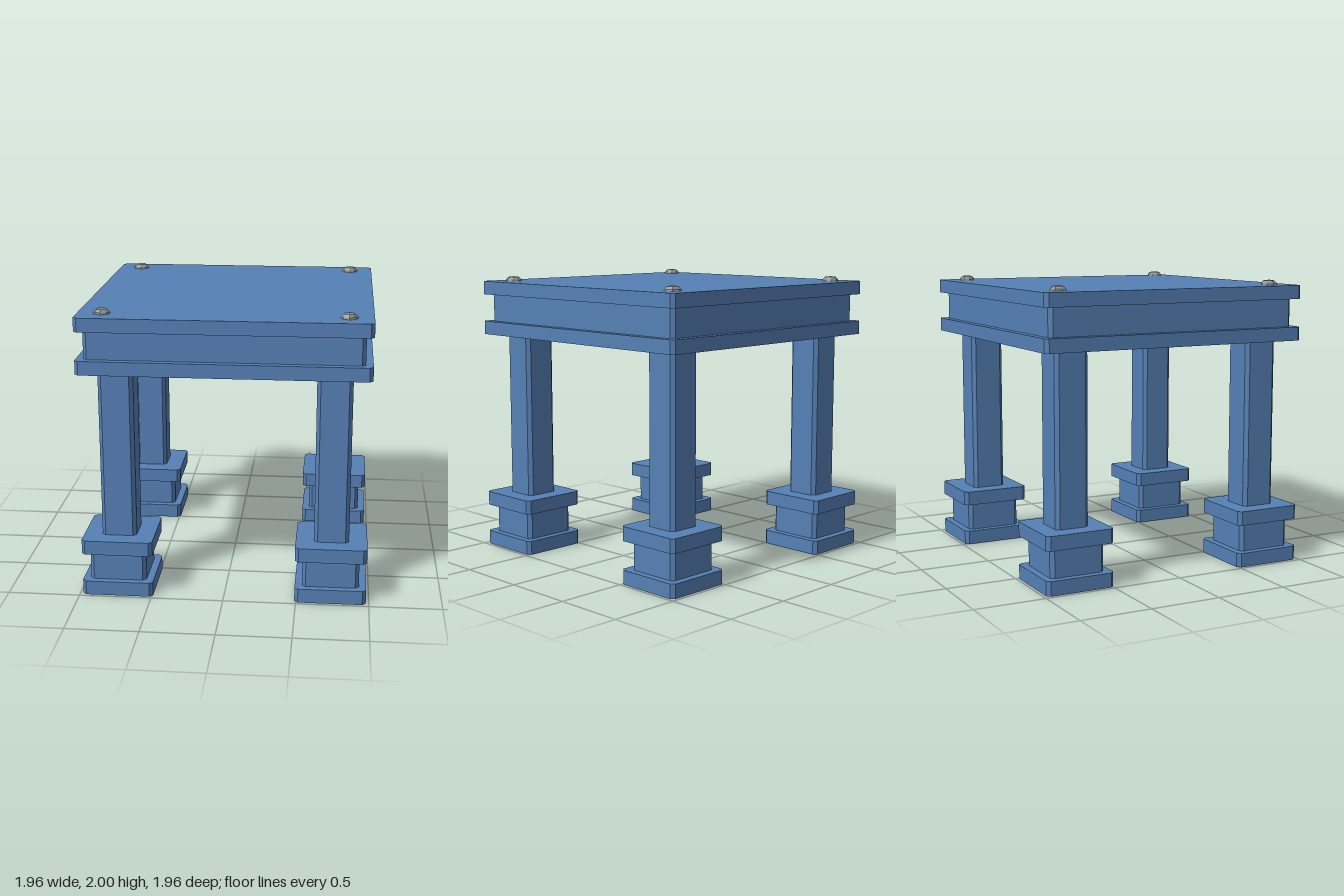
import * as THREE from 'three';

// Upright square slab with chamfered vertical corners
function slab(name, half, y0, y1, material, c = 0.025) {
  const h = half, k = half - c;
  const shape = new THREE.Shape(
    [[k, -h], [h, -k], [h, k], [k, h], [-k, h], [-h, k], [-h, -k], [-k, -h]]
      .map(([x, y]) => new THREE.Vector2(x, y)));
  const geo = new THREE.ExtrudeGeometry(shape, { depth: y1 - y0, bevelEnabled: false });
  geo.rotateX(-Math.PI / 2);
  geo.translate(0, y0, 0);
  const mesh = new THREE.Mesh(geo, material);
  mesh.name = name;
  return mesh;
}

export function createModel() {
  const blue = new THREE.MeshStandardMaterial({ color: 0x5580b5 });
  blue.name = 'blue paint';
  const steel = new THREE.MeshStandardMaterial({ color: 0x858d8e });
  steel.name = 'grey steel';
  steel.flatShading = true;

  const model = new THREE.Group();
  model.name = 'table';

  // Table top: two plates with a recessed band between them
  const top = new THREE.Group();
  top.name = 'tableTop';
  top.add(
    slab('lowerPlate', 0.98, 1.58, 1.675, blue),
    slab('recessedBand', 0.93, 1.675, 1.87, blue),
    slab('upperPlate', 0.98, 1.87, 1.965, blue));
  model.add(top);

  // Low octagonal bolt head
  const boltGeo = new THREE.LatheGeometry(
    [[0.058, 1.965], [0.055, 1.978], [0.038, 1.995], [0, 2]]
      .map(([r, y]) => new THREE.Vector2(r, y)), 8);

  for (const [sx, side] of [[1, 'Left'], [-1, 'Right']]) {
    for (const [sz, end] of [[1, 'front'], [-1, 'back']]) {
      // Leg column on a stepped foot
      const leg = new THREE.Group();
      leg.name = `${end}${side}Leg`;
      leg.add(
        slab('footPlate', 0.245, 0, 0.1, blue),
        slab('footBlock', 0.195, 0.1, 0.3, blue),
        slab('footCap', 0.245, 0.3, 0.4, blue),
        slab('column', 0.12, 0.4, 1.58, blue));
      leg.position.set(sx * 0.735, 0, sz * 0.735);
      model.add(leg);

      const bolt = new THREE.Mesh(boltGeo, steel);
      bolt.name = `${end}${side}Bolt`;
      bolt.position.set(sx * 0.815, 0, sz * 0.815);
      model.add(bolt);
    }
  }
  return model;
}
